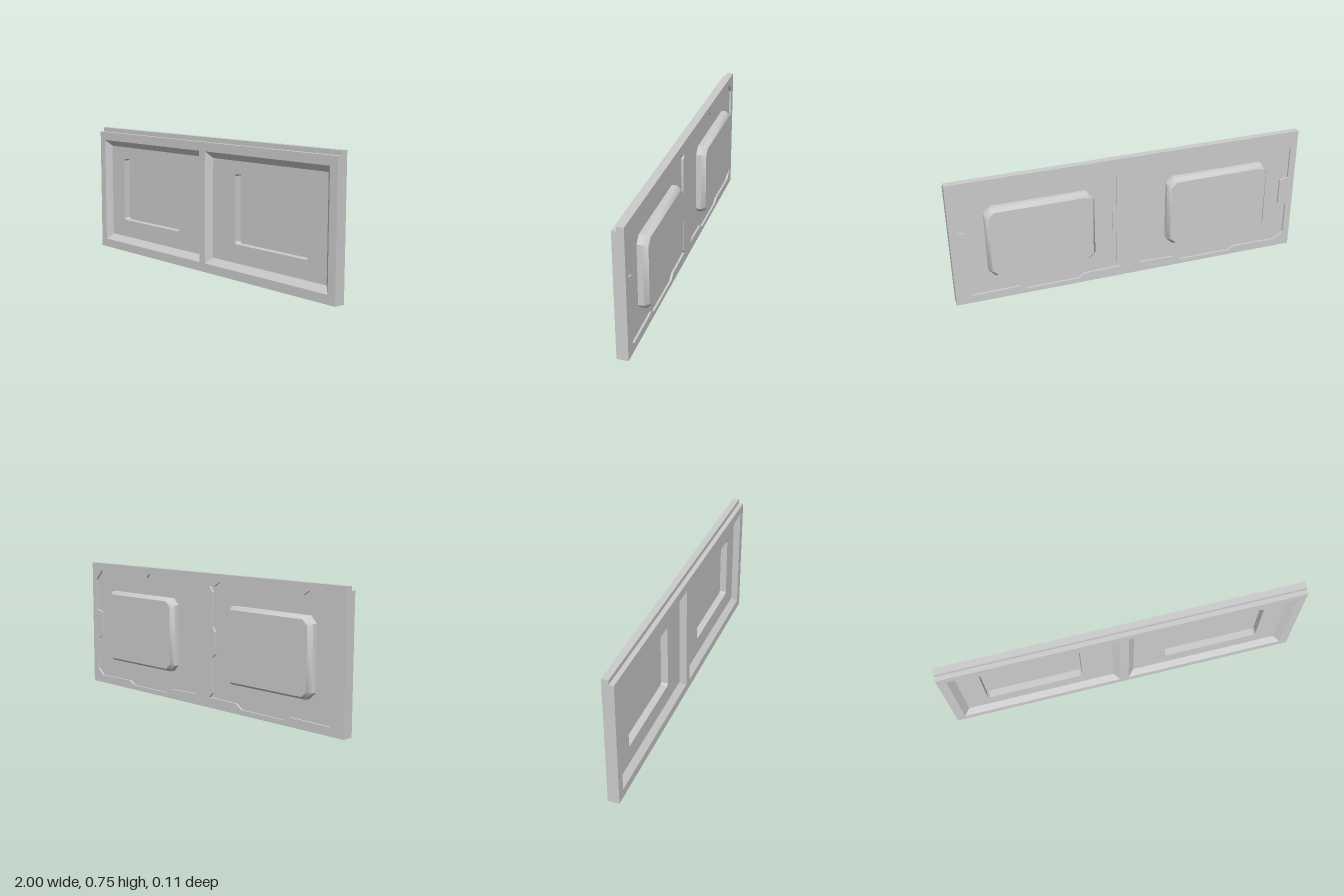
import * as THREE from 'three';
import { toCreasedNormals } from 'three/addons/utils/BufferGeometryUtils.js';

const material = new THREE.MeshStandardMaterial({ color: 0xcccccc });

// Depth levels, back to front
const Z = { bump: -0.053, bumpEdge: -0.028, pocket: -0.017, back: -0.01, backFloor: 0.002, floor: 0.023, lip: 0.027, front: 0.053 };

// Anticlockwise rectangle with cut corners, as [x, y] pairs
function cutRect(cx, cy, hw, hh, c) {
  const corners = [[1, 1], [-1, 1], [-1, -1], [1, -1]];
  return corners.flatMap(([sx, sy]) => {
    const x = cx + sx * hw, y = cy + sy * hh;
    if (!c) return [[x, y]];
    const pair = [[x, y - sy * c], [x - sx * c, y]];
    return sx * sy > 0 ? pair : pair.reverse();
  });
}

// Joins rings of equal point count; rising rings face outward, falling rings inward
function loft(rings, { capStart = false, capEnd = false } = {}, crease = 0.7) {
  const n = rings[0].pts.length, pos = [], idx = [];
  for (const r of rings) for (const [x, y] of r.pts) pos.push(x, y, r.z);
  for (let k = 0; k < rings.length - 1; k++) {
    for (let i = 0; i < n; i++) {
      const a = k * n + i, b = k * n + (i + 1) % n;
      idx.push(a, b, b + n, a, b + n, a + n);
    }
  }
  const last = (rings.length - 1) * n;
  for (let i = 1; i < n - 1; i++) {
    if (capStart) idx.push(0, i + 1, i);
    if (capEnd) idx.push(last, last + i, last + i + 1);
  }
  const geo = new THREE.BufferGeometry();
  geo.setAttribute('position', new THREE.Float32BufferAttribute(pos, 3));
  geo.setIndex(idx);
  return toCreasedNormals(geo, crease);
}

// Flat layer between two depths, pierced by outlines
function layer(height, holes, z0, z1) {
  const toPoints = (pts) => pts.map(([x, y]) => new THREE.Vector2(x, y));
  const shape = new THREE.Shape(toPoints([[-1, 0], [1, 0], [1, height], [-1, height]]));
  shape.holes = holes.map((h) => new THREE.Path(toPoints(h)));
  return new THREE.ExtrudeGeometry(shape, { depth: z1 - z0, bevelEnabled: false }).translate(0, 0, z0);
}

// Notched outline of the shallow recess in the back, for the +x half
const backOutline = [
  [0.91, 0.705], [0.765, 0.71], [0.73, 0.686], [0.48, 0.686], [0.458, 0.71], [0.13, 0.705], [0.09, 0.68], [0.056, 0.68],
  [0.078, 0.65], [0.078, 0.455], [0.1, 0.43], [0.1, 0.307], [0.078, 0.285], [0.078, 0.085], [0.056, 0.06],
  [0.267, 0.055], [0.306, 0.028], [0.606, 0.028], [0.644, 0.05], [0.911, 0.046],
  [0.961, 0.085], [0.961, 0.277], [0.911, 0.297], [0.911, 0.445], [0.961, 0.46], [0.961, 0.645],
];

export function createModel() {
  const group = new THREE.Group();
  const add = (name, geo) => {
    const mesh = new THREE.Mesh(geo, material);
    mesh.name = name;
    group.add(mesh);
  };
  const mirror = (pts) => pts.map(([x, y]) => [-x, y]);
  const both = (fn) => [1, -1].map(fn);

  const recess = (s) => cutRect(s * 0.4875, 0.3625, 0.4625, 0.3125, 0);
  const recessFloor = (s) => cutRect(s * 0.4875, 0.3625, 0.4275, 0.2775, 0);
  const pocket = (s) => cutRect(s * 0.515, 0.379, 0.275, 0.19, 0.012);

  // Panel body: notched back, solid core, front frame
  add('backLayer', layer(0.75, [backOutline, mirror(backOutline)], Z.back, Z.backFloor));
  add('coreLayer', layer(0.75, both(pocket), Z.backFloor, Z.floor));
  add('frontFrame', layer(0.725, both(recess), Z.floor, Z.front));

  // Lip along the top edge
  const lip = new THREE.BoxGeometry(2, 0.025, Z.lip - Z.floor);
  add('topLip', lip.translate(0, 0.7375, (Z.lip + Z.floor) / 2));

  for (const s of [1, -1]) {
    const side = s > 0 ? 'left' : 'right';

    // Sloped border of the front recess
    add(`${side}RecessBevel`, loft([{ pts: recess(s), z: Z.front }, { pts: recessFloor(s), z: Z.floor }]));

    // Sunken pocket in the recess floor
    add(`${side}Pocket`, loft([{ pts: pocket(s), z: Z.floor }, { pts: pocket(s), z: Z.pocket }], { capEnd: true }));

    // Raised box on the back with bevelled rim
    const body = cutRect(s * 0.51, 0.3765, 0.3, 0.2115, 0.037);
    const backFace = cutRect(s * 0.51, 0.3765, 0.284, 0.1955, 0.032);
    add(`${side}BackBox`, loft([
      { pts: backFace, z: Z.bump },
      { pts: body, z: Z.bumpEdge },
      { pts: body, z: Z.backFloor },
    ], { capStart: true }));
  }
  return group;
}
